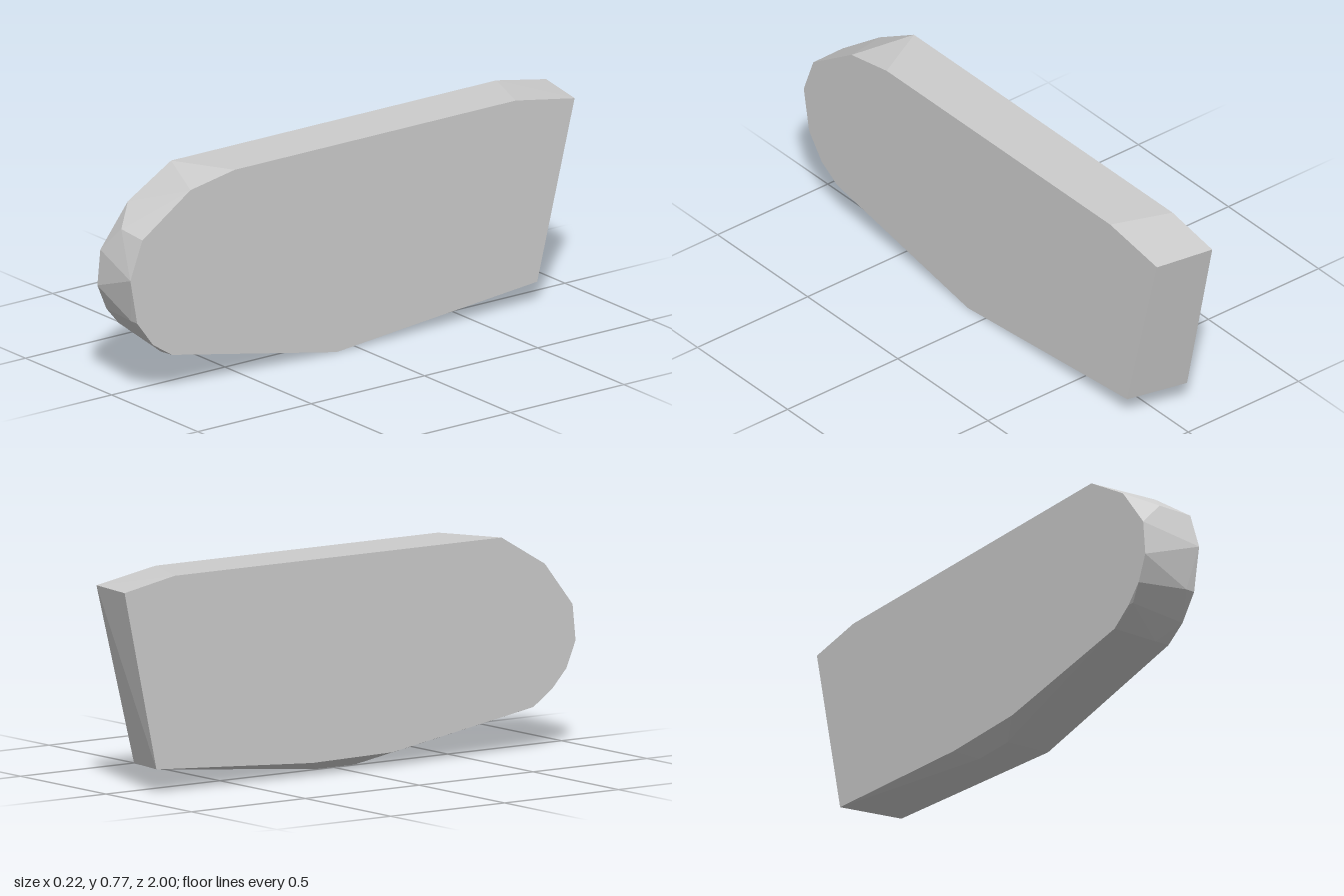
import * as THREE from 'three';
import { ConvexGeometry } from 'three/addons/geometries/ConvexGeometry.js';

// Side outlines as [z, y], going round from the top front
const leftOutline = [
  [0.54, 0.772], [0.735, 0.737], [0.947, 0.594], [1.0, 0.454], [0.97, 0.29],
  [0.9, 0.196], [0.815, 0.142], [0.09, 0.002], [-0.795, 0.08], [-0.96, 0.727], [-0.7, 0.772],
];
const rightOutline = [
  [0.655, 0.771], [0.845, 0.66], [0.967, 0.505], [0.98, 0.375], [0.94, 0.28],
  [0.88, 0.215], [0.795, 0.155], [0.177, 0.053], [-0.175, 0.048], [-0.86, 0.09],
  [-1.0, 0.73], [-0.78, 0.771],
];
// Extra corners on the rim between the two sides, as [x, y, z]
const rimCorners = [
  [-0.02, 0.6, 0.942], [0.075, 0.29, 0.971], [-0.1, 0.22, 0.893], [0.05, 0.139, 0.82],
  [-0.07, 0.03, 0.1], [-0.043, 0.012, 0.06], [-0.043, 0.012, -0.11],
];

export function createModel() {
  const group = new THREE.Group();
  group.name = 'roundedSlab';
  const grey = new THREE.MeshStandardMaterial({ color: 0xcccccc });
  grey.name = 'light grey';

  // Faceted slab: the convex skin around both outlines
  const points = [
    ...leftOutline.map(([z, y]) => new THREE.Vector3(0.109, y, z)),
    ...rightOutline.map(([z, y]) => new THREE.Vector3(-0.109, y, z)),
    ...rimCorners.map((c) => new THREE.Vector3(...c)),
  ];
  const slab = new THREE.Mesh(new ConvexGeometry(points), grey);
  slab.name = 'slab';
  group.add(slab);
  return group;
}
